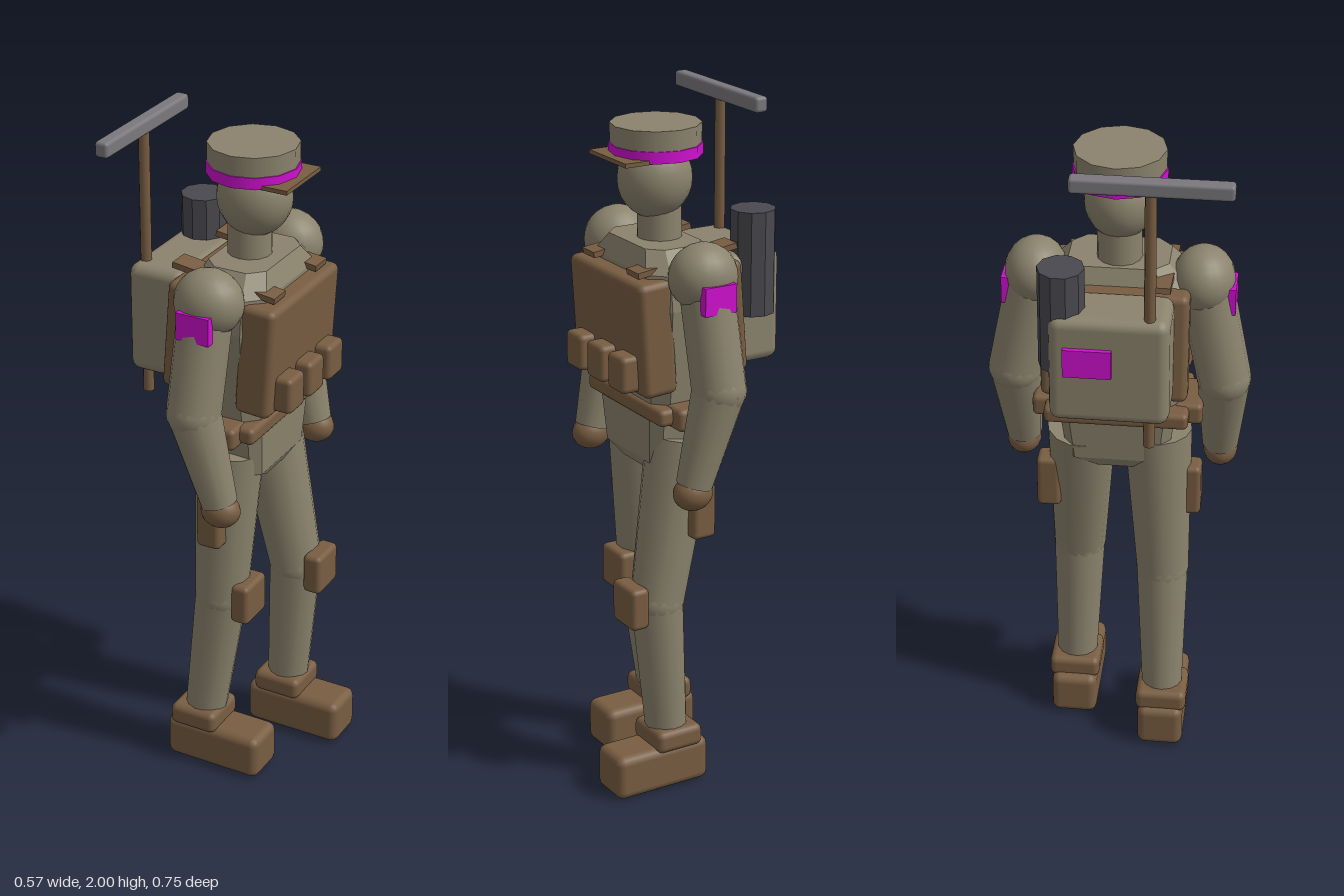
import * as THREE from 'three';
import { RoundedBoxGeometry } from 'three/addons/geometries/RoundedBoxGeometry.js';

const mat = (name, color, flat = false) => {
  const m = new THREE.MeshStandardMaterial({ color, flatShading: flat });
  m.name = name;
  return m;
};

// Lofts octagonal sections [y, centreX, halfX, halfZ, chamfer] into a closed solid
function loft(sections) {
  const pos = [], idx = [], n = 8;
  for (const [y, cx, hx, hz, c] of sections) {
    const ring = [[hx, hz - c], [hx, c - hz], [hx - c, -hz], [c - hx, -hz],
      [-hx, c - hz], [-hx, hz - c], [c - hx, hz], [hx - c, hz]];
    for (const [x, z] of ring) pos.push(cx + x, y, z);
  }
  for (let s = 0; s < sections.length - 1; s++) {
    for (let i = 0; i < n; i++) {
      const a = s * n + i, b = s * n + (i + 1) % n;
      idx.push(a, b, b + n, a, b + n, a + n);
    }
  }
  const top = (sections.length - 1) * n;
  for (let i = 1; i < n - 1; i++) {
    idx.push(0, i + 1, i);
    idx.push(top, top + i, top + i + 1);
  }
  let g = new THREE.BufferGeometry();
  g.setAttribute('position', new THREE.Float32BufferAttribute(pos, 3));
  g.setIndex(idx);
  g = g.toNonIndexed();
  g.computeVertexNormals();
  return g;
}

export function createModel() {
  const root = new THREE.Group();
  root.name = 'soldier';
  const cloth = mat('khaki cloth', 0x8b836d);
  const leather = mat('brown leather', 0x785d42);
  const accent = mat('magenta accent', 0xd010d0);
  const steel = mat('grey steel', 0x7a787c);
  const dark = mat('dark canister', 0x4a494f);

  const add = (name, geo, material, x = 0, y = 0, z = 0) => {
    const m = new THREE.Mesh(geo, material);
    m.name = name;
    m.position.set(x, y, z);
    root.add(m);
    return m;
  };
  // Rounded box given by its min and max on each axis
  const box = (name, material, [x0, x1], [y0, y1], [z0, z1], r = 0.015) =>
    add(name, new RoundedBoxGeometry(x1 - x0, y1 - y0, z1 - z0, 2, r), material,
      (x0 + x1) / 2, (y0 + y1) / 2, (z0 + z1) / 2);
  const plate = (name, material, [x0, x1], [y0, y1], [z0, z1]) =>
    add(name, new THREE.BoxGeometry(x1 - x0, y1 - y0, z1 - z0), material,
      (x0 + x1) / 2, (y0 + y1) / 2, (z0 + z1) / 2);
  const ball = (name, material, x, y, z, rx, ry = rx, rz = rx) => {
    const g = new THREE.SphereGeometry(1, 20, 14);
    g.scale(rx, ry, rz);
    return add(name, g, material, x, y, z);
  };
  // Tapered limb from point a to point b
  const limb = (name, material, a, b, ra, rb) => {
    const A = new THREE.Vector3(...a), B = new THREE.Vector3(...b);
    const d = B.clone().sub(A);
    const m = add(name, new THREE.CylinderGeometry(rb, ra, d.length(), 14), material);
    m.position.copy(A).addScaledVector(d, 0.5);
    m.quaternion.setFromUnitVectors(new THREE.Vector3(0, 1, 0), d.normalize());
    return m;
  };

  // Head, neck and cap
  ball('head', cloth, 0.04, 1.79, 0, 0.108, 0.115, 0.1);
  add('neck', new THREE.CylinderGeometry(0.062, 0.064, 0.14, 14), cloth, 0.025, 1.65, 0);
  add('cap', new THREE.CylinderGeometry(0.128, 0.127, 0.085, 12), cloth, 0.036, 1.902, 0);
  add('capBand', new THREE.CylinderGeometry(0.131, 0.131, 0.033, 12), accent, 0.036, 1.872, 0);
  plate('capVisor', leather, [0.05, 0.19], [1.853, 1.865], [-0.1, 0.1]);

  // Torso and pelvis
  add('torso', loft([[1.12, 0.03, 0.1, 0.165, 0.04], [1.25, 0.03, 0.105, 0.18, 0.04],
    [1.46, 0.035, 0.12, 0.205, 0.05], [1.56, 0.04, 0.115, 0.195, 0.05],
    [1.62, 0.04, 0.09, 0.14, 0.04]]), cloth);
  add('pelvis', loft([[0.965, 0.03, 0.08, 0.075, 0.02], [1.0, 0.03, 0.1, 0.145, 0.025],
    [1.14, 0.03, 0.108, 0.165, 0.03]]), cloth);

  // Belt, chest rig and back panel
  box('belt', leather, [-0.1, 0.145], [1.13, 1.18], [-0.205, 0.205]);
  box('chestRig', leather, [0.09, 0.197], [1.22, 1.55], [-0.2, 0.2], 0.02).rotation.z = -0.06;
  box('backPanel', leather, [-0.135, -0.06], [1.25, 1.575], [-0.205, 0.205], 0.02).rotation.z = -0.08;
  for (const z of [-0.118, 0, 0.118]) {
    box('chestPouch', leather, [0.16, 0.241], [1.232, 1.338], [z - 0.044, z + 0.044]);
  }

  // Backpack with canister and aerial
  box('backpack', cloth, [-0.275, -0.1], [1.255, 1.58], [-0.165, 0.165], 0.03);
  plate('backpackPatch', accent, [-0.288, -0.274], [1.41, 1.495], [-0.123, 0.01]);
  const canister = new THREE.CylinderGeometry(0.065, 0.065, 0.3, 10).toNonIndexed();
  canister.computeVertexNormals();
  add('canister', canister, dark, -0.198, 1.55, -0.135);
  add('aerialPole', new THREE.CylinderGeometry(0.016, 0.016, 0.79, 10), leather, -0.243, 1.57, 0.11);
  box('aerialBar', steel, [-0.264, -0.223], [1.955, 2.0], [-0.105, 0.33], 0.01);

  // Mirrored limbs and gear; each leg strides by its own amount
  for (const s of [1, -1]) {
    const side = (a, b) => (s > 0 ? [a, b] : [-b, -a]);
    const kneeX = s > 0 ? 0.005 : 0.112, ankleX = s > 0 ? -0.05 : 0.085;
    const footX = s > 0 ? 0.007 : 0.132;

    // Arm
    ball('shoulder', cloth, 0.026, 1.56, 0.233 * s, 0.1, 0.095, 0.088);
    limb('upperArm', cloth, [0.02, 1.54, 0.24 * s], [0.012, 1.25, 0.297 * s], 0.077, 0.077);
    ball('elbow', cloth, 0.012, 1.25, 0.297 * s, 0.077);
    limb('forearm', cloth, [0.012, 1.25, 0.297 * s], [0.085, 0.98, 0.287 * s], 0.076, 0.052);
    ball('hand', leather, 0.09, 0.958, 0.288 * s, 0.058, 0.05, 0.05);
    plate('armPatch', accent, [-0.025, 0.075], [1.475, 1.555], side(0.3, 0.326));

    // Shoulder strap and hip pouch
    plate('shoulderStrap', leather, [-0.135, 0.185], [1.575, 1.592], side(0.09, 0.155)).rotation.z = -0.13;
    box('hipPouch', leather, [-0.05, 0.105], [1.12, 1.185], side(0.16, 0.243));

    // Leg
    limb('thigh', cloth, [0.022, 1.06, 0.11 * s], [kneeX, 0.58, 0.13 * s], 0.1, 0.078);
    ball('knee', cloth, kneeX, 0.58, 0.13 * s, 0.078);
    limb('shin', cloth, [kneeX, 0.58, 0.13 * s], [ankleX, 0.14, 0.138 * s], 0.077, 0.06);
    box('kneePad', leather, [kneeX + 0.055, kneeX + 0.113], [0.52, 0.645], side(0.065, 0.185));
    box('thighPouch', leather, [-0.02, 0.055], [0.785, 0.948], side(0.17, 0.24));
    box('bootCuff', leather, [ankleX - 0.08, ankleX + 0.07], [0.12, 0.188], side(0.063, 0.215), 0.02);
    box('boot', leather, [footX - 0.153, footX + 0.153], [0, 0.135], side(0.07, 0.207), 0.025);
  }
  return root;
}
